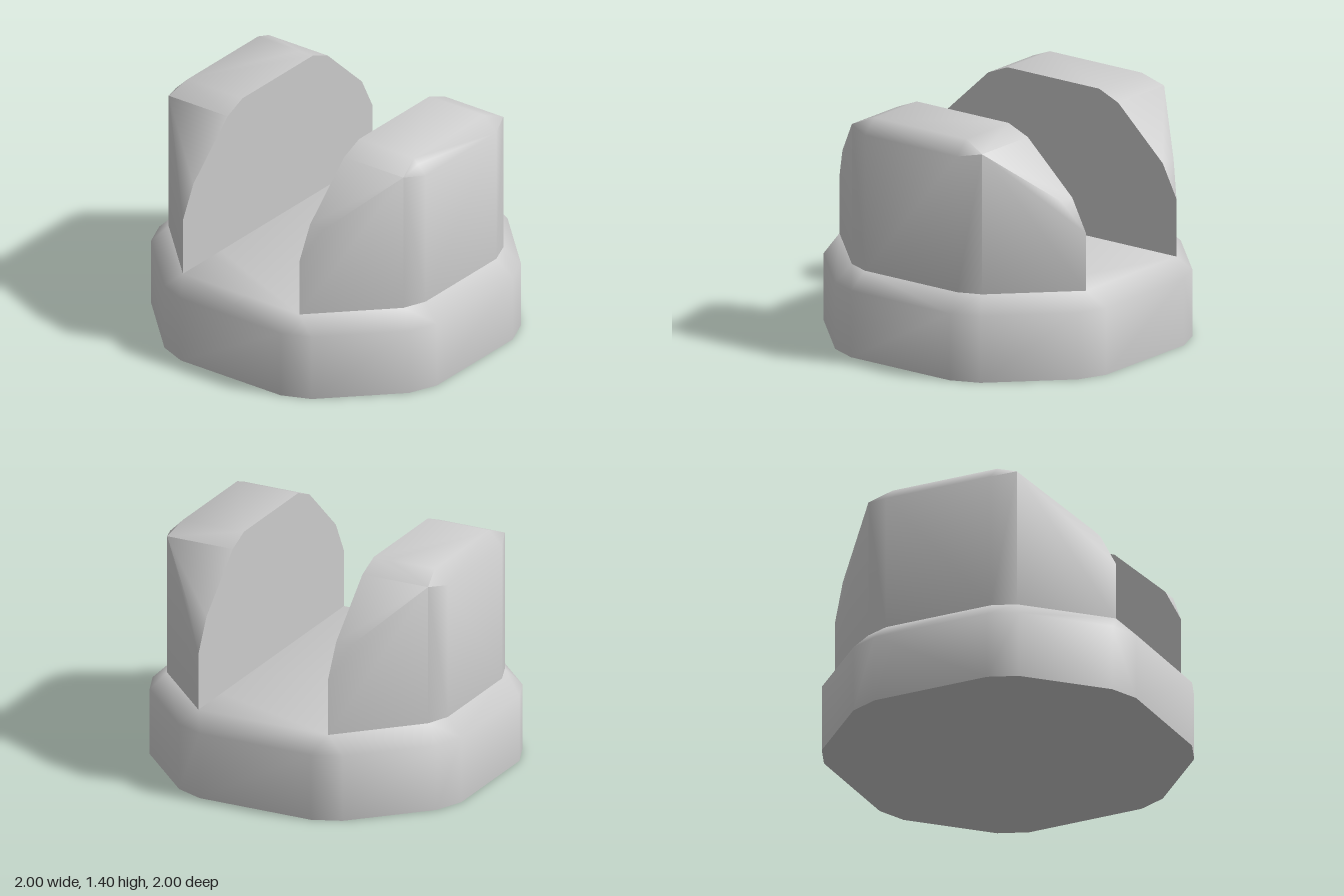
import * as THREE from 'three';
import { toCreasedNormals } from 'three/addons/utils/BufferGeometryUtils.js';
import { ConvexGeometry } from 'three/addons/geometries/ConvexGeometry.js';

const material = new THREE.MeshStandardMaterial({ color: 0xcccccc });

// Convex solid whose shallow edges are smoothed and right angles stay sharp
function solid(name, points) {
  const mesh = new THREE.Mesh(toCreasedNormals(new ConvexGeometry(points), 1.2), material);
  mesh.name = name;
  return mesh;
}

// Mirror one quadrant of an outline into all four, at height y
function ring(corners, y) {
  return corners.flatMap(([x, z]) =>
    [[1, 1], [-1, 1], [-1, -1], [1, -1]].map(([sx, sz]) => new THREE.Vector3(sx * x, y, sz * z)));
}

// Linear interpolation through [position, value] pairs
function sample(pairs, t) {
  for (let i = 1; i < pairs.length; i++) {
    const [a, va] = pairs[i - 1], [b, vb] = pairs[i];
    if (t <= b + 1e-6) return va + (vb - va) * (t - a) / (b - a);
  }
  return pairs[pairs.length - 1][1];
}

const FLOOR = 0.5;
const outer = [[1, 0.36], [0.93, 0.53], [0.53, 0.93], [0.36, 1]];
const inner = [[0.9, 0.335], [0.845, 0.475], [0.42, 0.9]];

// Half depth of an upright by x, and its top height by distance from the middle
const halfDepth = [[0.42, 0.9], [0.845, 0.475], [0.9, 0.335]];
const crown = [[0, 1.4], [0.335, 1.4], [0.475, 1.342], [0.8, 1.04], [0.9, 0.845]];

// Upright: footprint cut by the rounded crown and a chamfer along the outer top edge
function upright(name, side) {
  const points = [];
  for (const x of [0.42, 0.52, 0.815, 0.845, 0.9]) {
    const w = sample(halfDepth, x);
    for (const z of [0.335, 0.475, 0.8, w].filter((d) => d <= w)) {
      const top = Math.min(sample(crown, z), 2.215 - x);
      for (const s of [1, -1]) {
        points.push(new THREE.Vector3(side * x, top, s * z), new THREE.Vector3(side * x, FLOOR, s * z));
      }
    }
  }
  return solid(name, points);
}

export function createModel() {
  const group = new THREE.Group();
  group.name = 'slottedCap';
  // Eight-sided base with cut corners and a chamfered shoulder
  group.add(solid('base', [...ring(outer, 0), ...ring(outer, 0.4), ...ring(inner, FLOOR)]));
  // Two uprights either side of the open slot
  group.add(upright('leftUpright', 1), upright('rightUpright', -1));
  return group;
}
